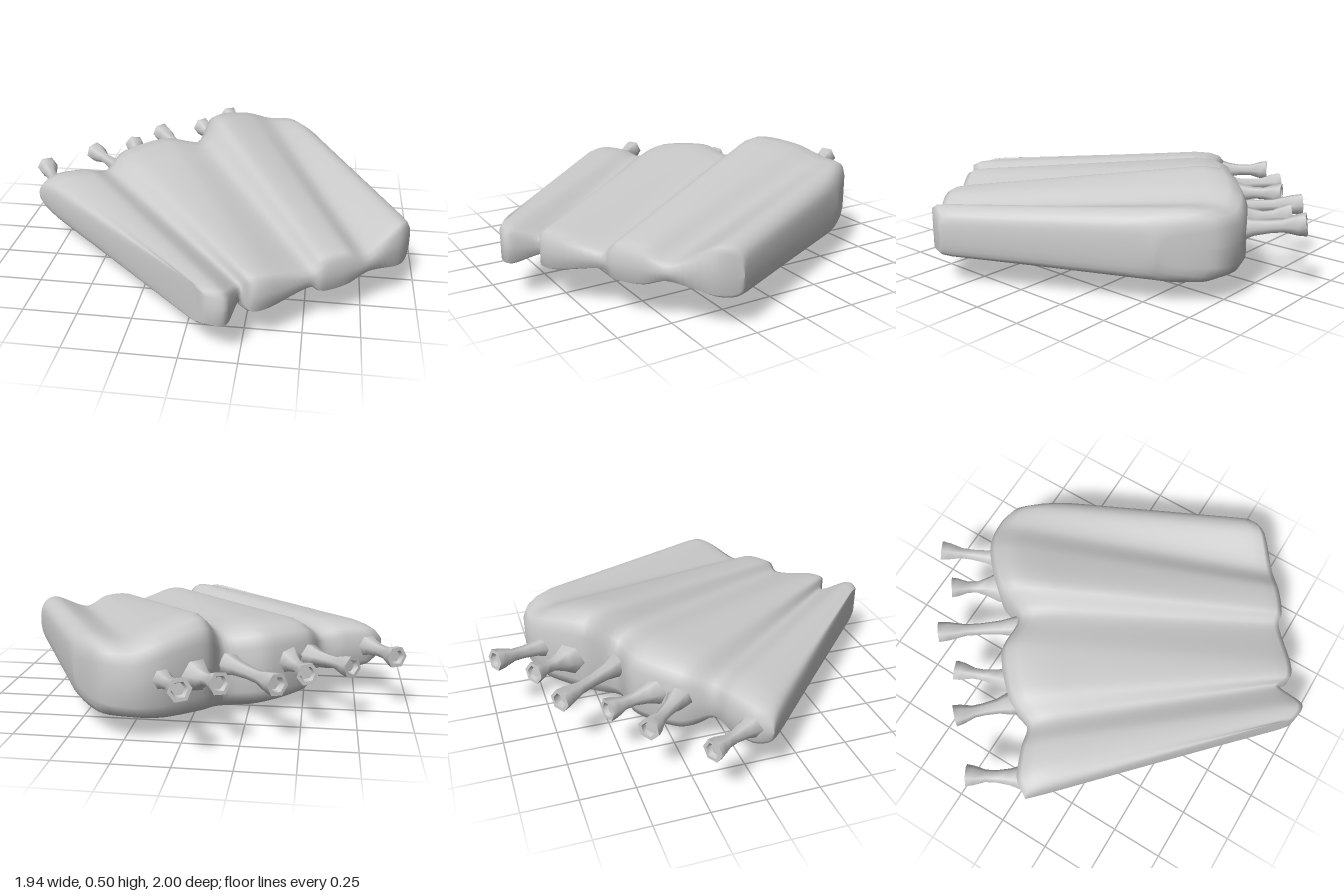
import * as THREE from 'three';
import { toCreasedNormals } from 'three/addons/utils/BufferGeometryUtils.js';

const material = new THREE.MeshStandardMaterial({ color: 0xcccccc, roughness: 0.7 });

// Heights [top, bottom] where a line meets the front edge
const CREST = [0.33, 0.17];
const GROOVE = [0.285, 0.205];

// Straight lines over the body: back point [x, z], back heights, front point, front heights
const LINES = [
  // first lobe: outer edge, two crests, groove
  [[-0.87, 0.07], [0.32, 0.18], [0.07, 0.95], CREST],
  [[-0.82, 0.00], [0.37, 0.13], [0.12, 0.99], CREST],
  [[-0.69, -0.06], [0.38, 0.12], [0.20, 0.985], CREST],
  [[-0.58, -0.10], [0.36, 0.13], [0.235, 0.85], GROOVE],
  // second lobe: two crests, groove
  [[-0.52, -0.24], [0.43, 0.05], [0.29, 0.875], CREST],
  [[-0.34, -0.40], [0.45, 0.04], [0.36, 0.84], CREST],
  [[-0.15, -0.43], [0.43, 0.04], [0.515, 0.705], GROOVE],
  // third lobe: two crests, groove
  [[-0.09, -0.58], [0.53, 0.05], [0.58, 0.68], CREST],
  [[0.06, -0.73], [0.50, 0.06], [0.68, 0.61], CREST],
  [[0.19, -0.79], [0.45, 0.08], [0.775, 0.53], GROOVE],
  // fourth lobe: crest, outer edge
  [[0.34, -0.77], [0.44, 0.10], [0.91, 0.40], [0.37, 0.155]],
  [[0.50, -0.60], [0.36, 0.16], [0.955, 0.30], CREST],
];

// Stations as [position along the lines, share of full thickness]; both ends close.
const STATIONS = [
  [0, 0], [0, 0.5], [0.02, 0.76], [0.06, 0.92], [0.12, 1], [0.2, 1], [0.3, 1], [0.4, 1],
  [0.5, 1], [0.6, 1], [0.7, 1], [0.8, 1], [0.88, 1], [0.94, 1], [0.98, 0.96], [1, 0.8], [1, 0],
];

// Lobed body lofted through closed, wavy cross-sections
function createBody() {
  const around = 144;
  const positions = [];
  const indices = [];
  for (const [v, thickness] of STATIONS) {
    const upper = [];
    const lower = [];
    for (const [[bx, bz], [backTop, backBottom], [fx, fz], [frontTop, frontBottom]] of LINES) {
      const x = THREE.MathUtils.lerp(bx, fx, v);
      const z = THREE.MathUtils.lerp(bz, fz, v);
      // the underside swells down around one spot
      const swell = 0.07 * Math.exp(-((x + 0.03) ** 2 + (z + 0.12) ** 2) / 0.06);
      const top = THREE.MathUtils.lerp(backTop, frontTop, v);
      const bottom = THREE.MathUtils.lerp(backBottom, frontBottom, v) - swell;
      const middle = (top + bottom) / 2;
      const half = ((top - bottom) / 2) * thickness;
      upper.push(new THREE.Vector3(x, middle + half, z));
      lower.unshift(new THREE.Vector3(x, middle - half, z));
    }
    const section = new THREE.CatmullRomCurve3([...upper, ...lower], true, 'catmullrom', 0.45);
    for (let i = 0; i < around; i++) positions.push(...section.getPoint(i / around).toArray());
  }
  for (let j = 0; j < STATIONS.length - 1; j++) {
    for (let i = 0; i < around; i++) {
      const next = (i + 1) % around;
      const a = j * around + i;
      const b = a + around;
      const c = (j + 1) * around + next;
      const d = j * around + next;
      indices.push(a, b, c, a, c, d);
    }
  }
  const geometry = new THREE.BufferGeometry();
  geometry.setAttribute('position', new THREE.Float32BufferAttribute(positions, 3));
  geometry.setIndex(indices);
  geometry.computeVertexNormals();
  const body = new THREE.Mesh(geometry, material);
  body.name = 'lobedBody';
  return body;
}

// Six-sided tube that flares at the root and at its hollow mouth
function createTube(base, tip, rootRadius) {
  const from = new THREE.Vector3(...base);
  const direction = new THREE.Vector3(...tip).sub(from);
  const length = direction.length();
  direction.normalize();
  const profile = [
    [rootRadius * 1.2, -0.3], [rootRadius, 0], [rootRadius * 0.68, 0.2], [0.03, 0.45], [0.03, 0.65],
    [0.048, 0.87], [0.053, 1], [0.036, 1], [0.028, 0.92], [0, 0.92],
  ].map(([r, h]) => new THREE.Vector2(r, h * length));
  const geometry = toCreasedNormals(new THREE.LatheGeometry(profile, 6), 1.1);
  const tube = new THREE.Mesh(geometry, material);
  tube.position.copy(from);
  tube.quaternion.setFromUnitVectors(new THREE.Vector3(0, 1, 0), direction);
  tube.name = 'flaredTube';
  return tube;
}

export function createModel() {
  const model = new THREE.Group();
  model.name = 'lobedBodyWithTubes';
  model.add(createBody());

  // Row of tubes along the back edge: base, tip, root radius
  const tubes = new THREE.Group();
  tubes.name = 'backTubes';
  const layout = [
    [[-0.80, 0.26, 0.01], [-0.93, 0.27, -0.22], 0.06],
    [[-0.53, 0.27, -0.24], [-0.72, 0.28, -0.43], 0.055],
    [[-0.43, 0.27, -0.32], [-0.525, 0.28, -0.56], 0.065],
    [[-0.17, 0.27, -0.43], [-0.405, 0.29, -0.745], 0.055],
    [[-0.04, 0.28, -0.63], [-0.175, 0.31, -0.82], 0.08],
    [[0.09, 0.29, -0.72], [-0.035, 0.33, -0.975], 0.055],
  ];
  for (const [base, tip, rootRadius] of layout) tubes.add(createTube(base, tip, rootRadius));
  model.add(tubes);
  return model;
}
